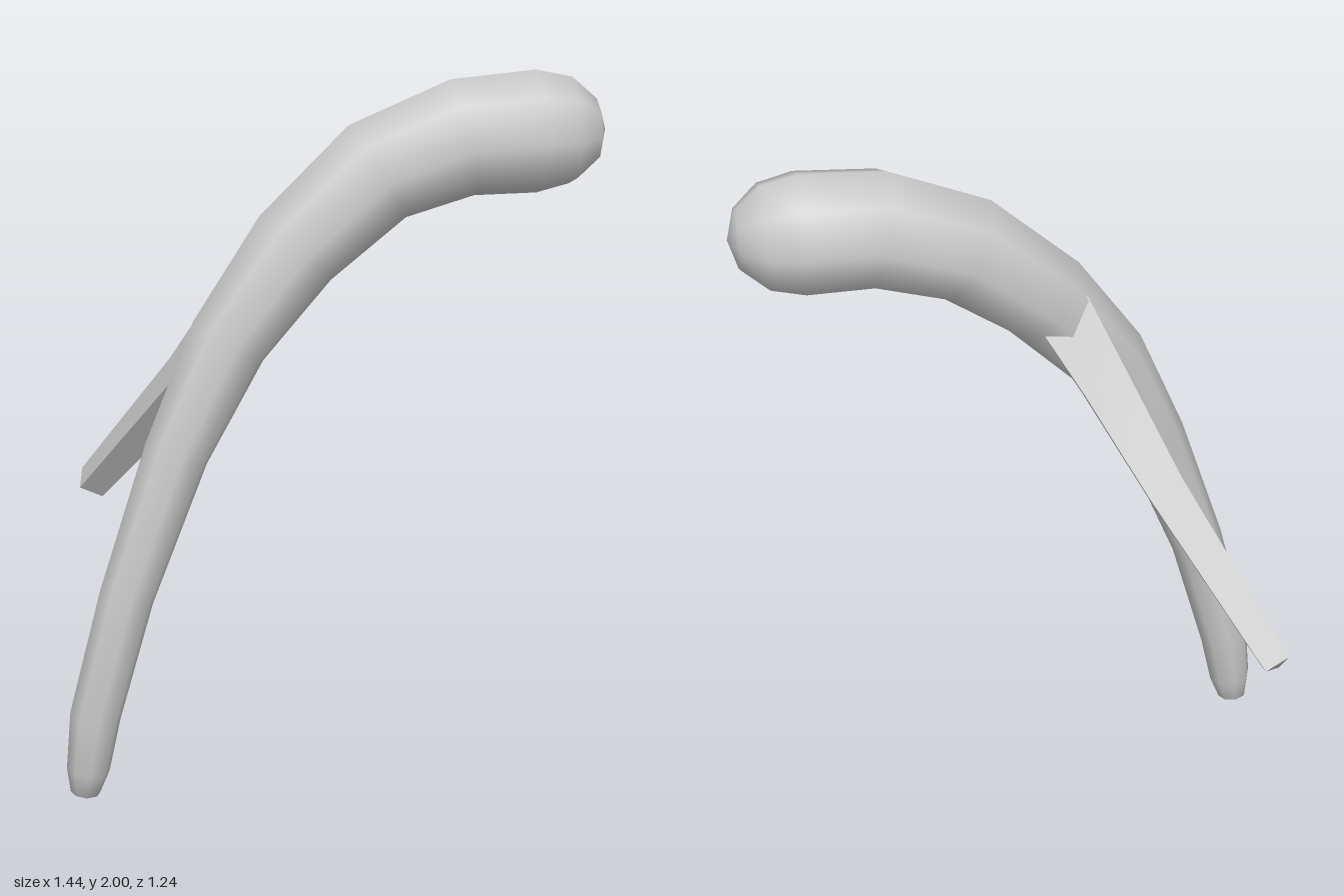
import * as THREE from 'three';
import { toCreasedNormals } from 'three/addons/utils/BufferGeometryUtils.js';

const material = new THREE.MeshStandardMaterial({ color: 0xcccccc });

// Sweeps a ring along sections [x, y, z, radius]; side is one axis of each ring.
function sweep(sections, sides, side, phase, crease) {
  const centers = sections.map(([x, y, z]) => new THREE.Vector3(x, y, z));
  const last = centers.length - 1;
  const positions = [], index = [];
  centers.forEach((c, i) => {
    const t = centers[Math.min(i + 1, last)].clone().sub(centers[Math.max(i - 1, 0)]).normalize();
    const s = side.clone().addScaledVector(t, -side.dot(t)).normalize();
    const n = t.clone().cross(s);
    for (let j = 0; j < sides; j++) {
      const a = phase + (j / sides) * Math.PI * 2;
      const p = c.clone()
        .addScaledVector(s, Math.cos(a) * sections[i][3])
        .addScaledVector(n, Math.sin(a) * sections[i][3]);
      positions.push(p.x, p.y, p.z);
      if (i === last) continue;
      const k = (j + 1) % sides;
      const a0 = i * sides + j, a1 = i * sides + k, b0 = a0 + sides, b1 = a1 + sides;
      if (sections[i][3] > 0) index.push(a0, a1, b1);
      if (sections[i + 1][3] > 0) index.push(a0, b1, b0);
    }
  });
  const geometry = new THREE.BufferGeometry();
  geometry.setAttribute('position', new THREE.Float32BufferAttribute(positions, 3));
  geometry.setIndex(index);
  return toCreasedNormals(geometry, crease);
}

export function createModel() {
  const group = new THREE.Group();
  group.name = 'forkedBranch';
  const add = (name, geometry) => {
    const mesh = new THREE.Mesh(geometry, material);
    mesh.name = name;
    group.add(mesh);
  };

  // Curved main branch, from its thin foot to its thick upper end
  const trunk = [
    [-0.235, 0, 0.577, 0],
    [-0.235, 0.02, 0.577, 0.042],
    [-0.225, 0.09, 0.575, 0.06],
    [-0.212, 0.25, 0.555, 0.071],
    [-0.147, 0.6, 0.49, 0.076],
    [-0.072, 1.0, 0.36, 0.09],
    [0.005, 1.3, 0.23, 0.112],
    [0.105, 1.54, 0.065, 0.135],
    [0.24, 1.735, -0.12, 0.153],
    [0.4, 1.82, -0.285, 0.165],
    [0.54, 1.83, -0.43, 0.17],
  ];
  // Rounded knob closing the upper end
  const R = 0.17;
  for (const deg of [30, 60, 90]) {
    const a = THREE.MathUtils.degToRad(deg), d = 0.19 * Math.sin(a);
    trunk.push([0.54 + 0.7 * d, 1.83, -0.43 - 0.71 * d, deg < 90 ? R * Math.cos(a) : 0]);
  }
  add('mainBranch', sweep(trunk, 8, new THREE.Vector3(0.73, 0, 0.685), 0, 1.0));

  // Four-sided side twig, sunk into the main branch
  const twig = [
    [-0.697, 0.652, 0.008, 0],
    [-0.69, 0.665, 0.008, 0.053],
    [-0.3, 1.08, 0.045, 0.074],
    [-0.09, 1.32, 0.075, 0.092],
    [0.06, 1.5, 0.085, 0.11],
    [0.09, 1.53, 0.085, 0],
  ];
  add('sideTwig', sweep(twig, 4, new THREE.Vector3(0, 0, 1), 0, 0.8));
  return group;
}
